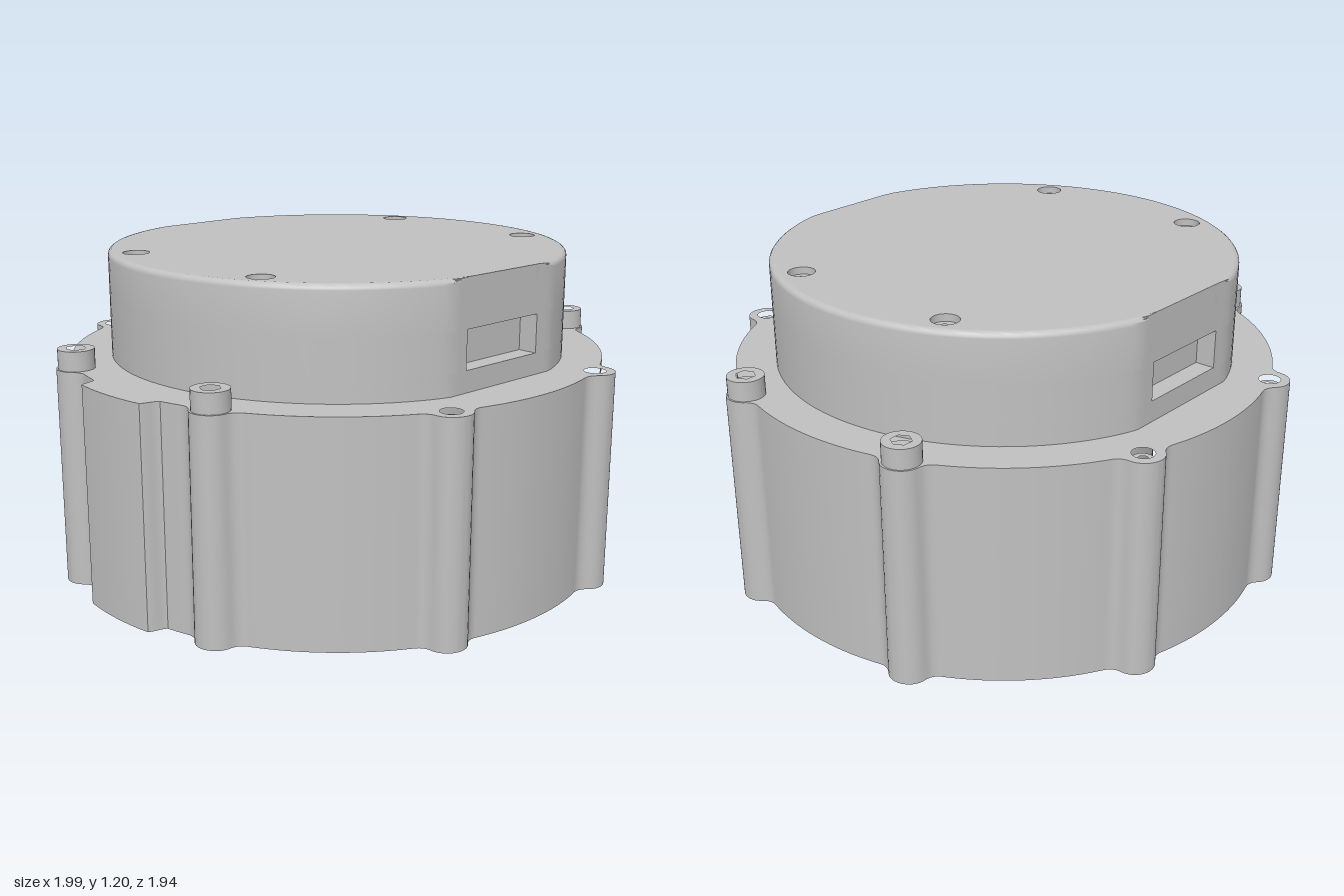
import * as THREE from 'three';
import { toCreasedNormals } from 'three/addons/utils/BufferGeometryUtils.js';

const R = 0.968;          // housing radius
const CAP_R = 0.825;      // cap radius
const FLAT = 0.785;       // cap is cut flat at z = +-FLAT
const SEG = 144;
const TAU = Math.PI * 2;

const metal = new THREE.MeshStandardMaterial({ color: 0xc0c0c0 });
metal.name = 'metal grey';

const shapeOf = (pts) => new THREE.Shape(pts.map(([x, z]) => new THREE.Vector2(x, -z)));

const polygon = (x, z, r, n = 32) => {
  const pts = [];
  for (let i = 0; i < n; i++) {
    const a = (i / n) * TAU;
    pts.push([x + r * Math.cos(a), z + r * Math.sin(a)]);
  }
  return shapeOf(pts);
};

// Horizontal slab of a plan shape between two heights
const slab = (shape, y0, y1) => {
  const g = new THREE.ExtrudeGeometry(shape, { depth: y1 - y0, bevelEnabled: false });
  g.rotateX(-Math.PI / 2).translate(0, y0, 0);
  return toCreasedNormals(g, 0.5);
};

const lathe = (pts) => new THREE.LatheGeometry(pts.map(([r, y]) => new THREE.Vector2(r, y)), SEG);

// Height of a filleted boss above the housing circle, s = arc distance from its centre
const bossHeight = (s) => {
  const b = 0.07, f = 0.05, sc = 0.1091;
  if (s < 0.0636) return Math.sqrt(b * b - s * s);
  if (s < sc) return f - Math.sqrt(f * f - (s - sc) ** 2);
  return 0;
};

const housingOutline = () => {
  const pts = [];
  const n = 720;
  for (let i = 0; i < n; i++) {
    const a = (i / n) * TAU;
    const toBoss = Math.abs((a % (TAU / 8)) - TAU / 16) * R;
    const toTab = Math.abs(a - Math.PI) * R;
    const tab = 0.059 * (1 - THREE.MathUtils.smoothstep(toTab, 0.15, 0.185));
    const r = R + Math.max(bossHeight(toBoss), tab);
    pts.push([r * Math.cos(a), r * Math.sin(a)]);
  }
  return pts;
};

// Circle with both z sides cut flat
const capOutline = (radius) => {
  const pts = [];
  for (let i = 0; i < SEG; i++) {
    const a = (i / SEG) * TAU;
    pts.push([radius * Math.sin(a), THREE.MathUtils.clamp(radius * Math.cos(a), -FLAT, FLAT)]);
  }
  return pts;
};

export function createModel() {
  const model = new THREE.Group();
  model.name = 'motorHousing';
  const body = new THREE.Group();
  body.name = 'assembly';
  body.position.x = 0.027;
  model.add(body);

  const add = (name, geometry) => {
    const m = new THREE.Mesh(geometry, metal);
    m.name = name;
    body.add(m);
    return m;
  };

  // Screw with a hex socket at each end and a solid core
  const screw = (name, x, z, r, y0, y1) => {
    const s = polygon(x, z, r);
    s.holes.push(polygon(x, z, r * 0.55, 6));
    add(name, slab(s, y0, y1));
    add(name + 'Core', slab(polygon(x, z, r * 0.9, 24), y0 + 0.02, y1 - 0.03));
  };

  // Housing with eight bosses and a side tab
  const bosses = [];
  for (let i = 0; i < 8; i++) {
    const a = ((i + 0.5) / 8) * TAU;
    bosses.push([R * Math.cos(a), R * Math.sin(a)]);
  }
  const housing = shapeOf(housingOutline());
  housing.holes.push(polygon(0, 0, 0.56, 96));
  bosses.forEach(([x, z]) => housing.holes.push(polygon(x, z, 0.038)));
  add('housing', slab(housing, 0.04, 0.82));
  bosses.forEach(([x, z]) => {
    screw('bossScrew', x, z, 0.038, 0.06, 0.80);
    if (Math.abs(x) > 0.6) screw('boltHead', x, z, 0.064, 0.815, 0.89);
  });

  // Cap base
  add('capBase', slab(shapeOf(capOutline(CAP_R)), 0.82, 0.895));

  // Cap middle, notched for a window on each flat
  const w = 0.1775, deep = FLAT - 0.07;
  const half = [
    [w, deep], [w, FLAT],
    ...capOutline(CAP_R).filter(([x]) => x > w + 0.001),
    [w, -FLAT], [w, -deep],
  ];
  const notched = [...half, ...half.map(([x, z]) => [-x, -z])];
  add('capWindowBand', slab(shapeOf(notched), 0.895, 1.03));

  // Cap upper wall with a rounded top edge, cut by the flats
  const wall = lathe([
    [0, 1.03], [CAP_R, 1.03], [CAP_R, 1.18], [0.8237, 1.1877],
    [0.8191, 1.1941], [0.8127, 1.1985], [0.805, 1.2],
  ]);
  const p = wall.attributes.position;
  for (let i = 0; i < p.count; i++) p.setZ(i, THREE.MathUtils.clamp(p.getZ(i), -FLAT, FLAT));
  add('capUpperWall', toCreasedNormals(wall, 0.5));

  // Lid with four recessed screws
  const lid = shapeOf(capOutline(0.805));
  const lidScrews = [[1, 1], [1, -1], [-1, 1], [-1, -1]].map(([i, j]) => [i * 0.653, j * 0.333]);
  lidScrews.forEach(([x, z]) => lid.holes.push(polygon(x, z, 0.047)));
  add('lid', slab(lid, 1.12, 1.2));
  lidScrews.forEach(([x, z]) => screw('lidScrew', x, z, 0.046, 1.1, 1.175));

  // Underside: stepped bore, groove floor and raised ring
  add('bearingRing', toCreasedNormals(lathe([
    [0, 0.25], [0.12, 0.25], [0.12, 0.1], [0.5, 0.1], [0.52, 0.06], [0.56, 0.06],
    [0.56, 0.01], [0.57, 0], [0.605, 0], [0.613, 0.008], [0.613, 0.04],
  ]), 0.5));

  // Output hub with nine round holes and three square pockets
  const hub = polygon(0, 0, 0.435, 96);
  hub.holes.push(polygon(0, 0, 0.17, 64));
  for (let k = 0; k < 12; k++) {
    const a = ((-75 + 30 * k) * Math.PI) / 180;
    const c = Math.cos(a), s = Math.sin(a);
    if (k % 4) {
      hub.holes.push(polygon(0.285 * c, 0.285 * s, 0.04, 24));
    } else {
      const corners = [[-1, -1], [1, -1], [1, 1], [-1, 1]].map(([i, j]) => {
        const u = 0.285 + i * 0.045, v = j * 0.055;
        return [u * c - v * s, u * s + v * c];
      });
      hub.holes.push(shapeOf(corners));
    }
  }
  add('outputHub', slab(hub, 0.002, 0.1));

  return model;
}
